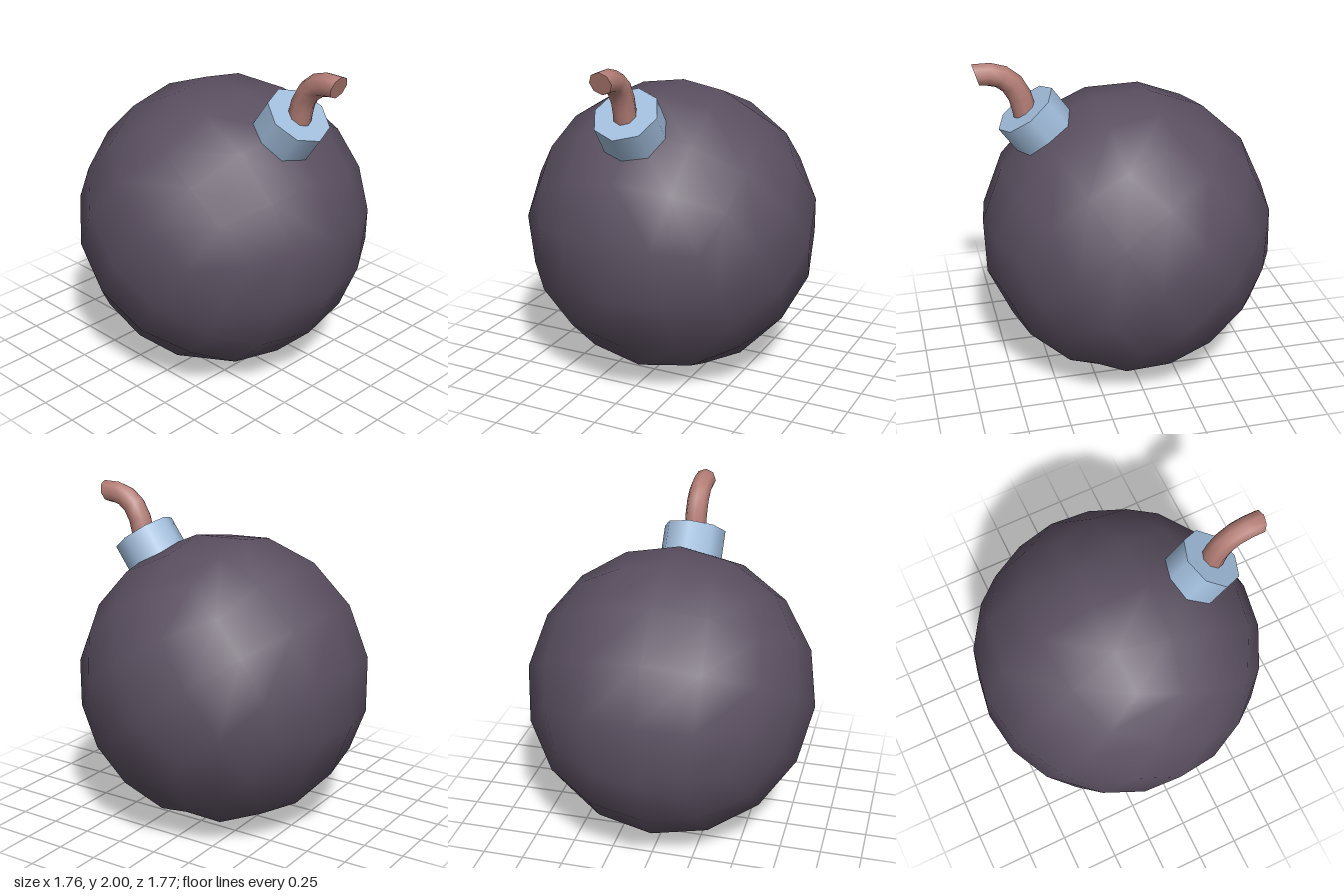
import * as THREE from 'three';

const TILT = THREE.MathUtils.degToRad(-35.6);
const CENTRE = [-0.01, 0.875, 0];
const RADIUS = 0.886;

const material = (name, color) => {
  const m = new THREE.MeshStandardMaterial({ color });
  m.name = name;
  return m;
};

// Cube rounded to a ball: even grid points go straight to the sphere,
// odd ones sit midway between their even neighbours.
function ballGeometry(radius) {
  const geo = new THREE.BoxGeometry(4, 4, 4, 4, 4, 4);
  const pos = geo.attributes.position;
  const options = (c) => (Math.abs(Math.round(c)) % 2 ? [c - 1, c + 1] : [c]);
  for (let i = 0; i < pos.count; i++) {
    const p = new THREE.Vector3();
    for (const x of options(pos.getX(i)))
      for (const y of options(pos.getY(i)))
        for (const z of options(pos.getZ(i)))
          p.add(new THREE.Vector3(x, y, z).normalize());
    p.normalize();
    geo.attributes.normal.setXYZ(i, p.x, p.y, p.z);
    pos.setXYZ(i, p.x * radius, p.y * radius, p.z * radius);
  }
  return geo;
}

// Eight-sided rod bent along rows of [x, y, heading in degrees].
function bentRodGeometry(radius, rows) {
  const last = rows.length - 1;
  const geo = new THREE.CylinderGeometry(radius, radius, last, 8, last);
  const { position: pos, normal: nor } = geo.attributes;
  for (let i = 0; i < pos.count; i++) {
    const [x, y, heading] = rows[Math.round(pos.getY(i) + last / 2)];
    const turn = THREE.MathUtils.degToRad(heading - 90);
    const c = Math.cos(turn), s = Math.sin(turn);
    const px = pos.getX(i), nx = nor.getX(i), ny = nor.getY(i);
    pos.setXYZ(i, x + px * c, y + px * s, pos.getZ(i));
    nor.setXYZ(i, nx * c - ny * s, nx * s + ny * c, nor.getZ(i));
  }
  return geo;
}

export function createModel() {
  const model = new THREE.Group();
  model.name = 'bomb';

  // Tilted ball and the collar on its crown
  const tilted = new THREE.Group();
  tilted.name = 'tiltedBody';
  tilted.position.set(...CENTRE);
  tilted.rotation.z = TILT;
  model.add(tilted);

  const ball = new THREE.Mesh(ballGeometry(RADIUS), material('dark shell', 0x5a4f60));
  ball.name = 'ball';
  tilted.add(ball);

  const collar = new THREE.Mesh(
    new THREE.CylinderGeometry(0.194, 0.194, 0.24, 8),
    material('pale blue metal', 0xa0bcda)
  );
  collar.name = 'collar';
  collar.position.y = 0.902;
  tilted.add(collar);

  // Fuse curving out of the collar
  const fuse = new THREE.Mesh(
    bentRodGeometry(0.068, [
      [0.575, 1.62, 75],
      [0.597, 1.73, 77],
      [0.613, 1.79, 70],
      [0.655, 1.865, 52],
      [0.715, 1.913, 30],
      [0.785, 1.933, 10],
      [0.86, 1.935, -17],
    ]),
    material('rust cord', 0xb47e76)
  );
  fuse.name = 'fuse';
  model.add(fuse);

  return model;
}
